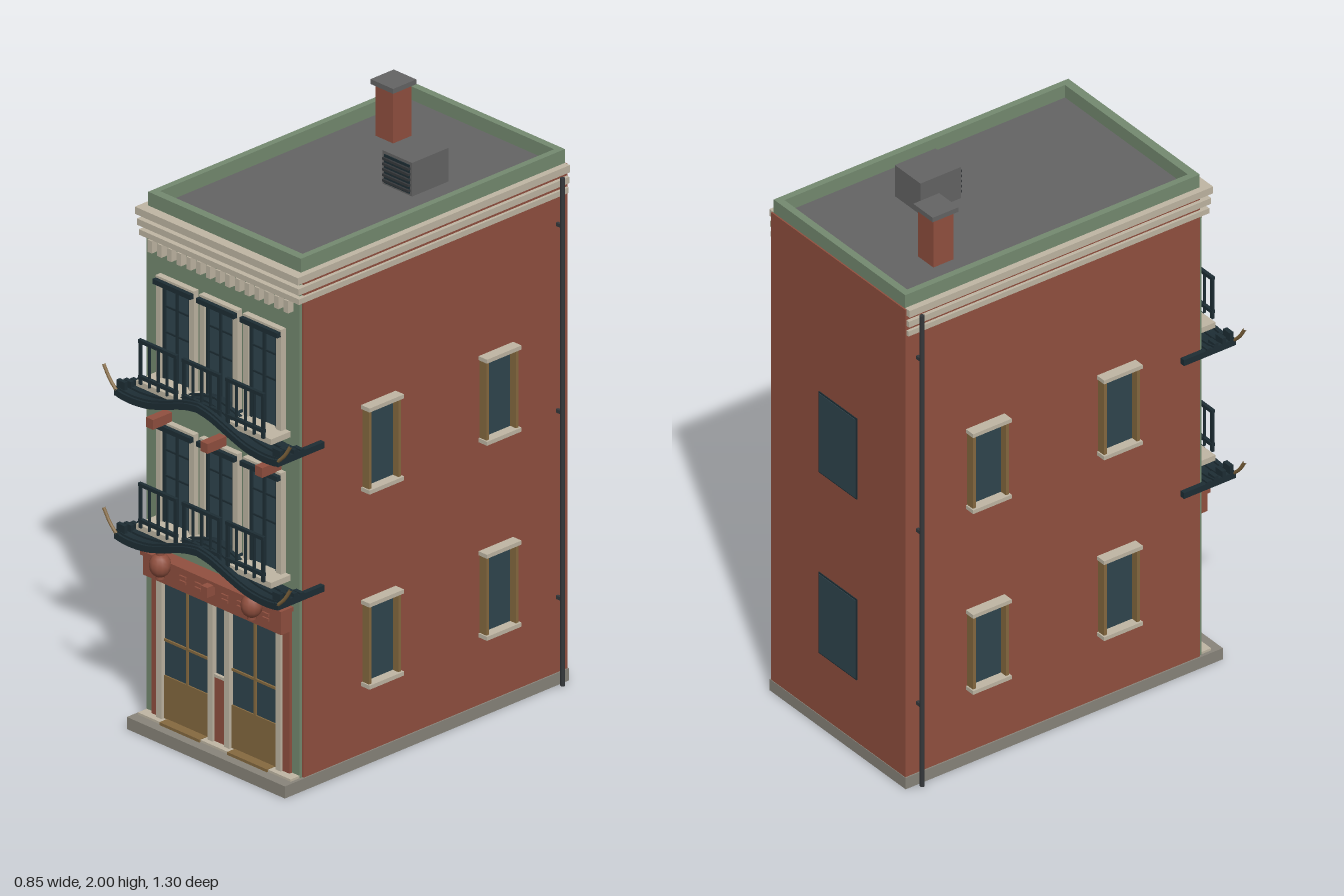
import * as THREE from 'three';

const mat = (name, color, side = THREE.FrontSide) => {
  const m = new THREE.MeshStandardMaterial({ color, side });
  m.name = name;
  return m;
};

export function createModel() {
  const root = new THREE.Group();
  root.name = 'townhouse';
  const brick = mat('brick red', 0x91503f);
  const green = mat('sage green', 0x748a70);
  const cream = mat('cream trim', 0xbfb6a3);
  const stone = mat('base stone', 0x88847a);
  const roofGrey = mat('roof grey', 0x646464);
  const glass = mat('dark glass', 0x2f454e);
  const iron = mat('dark iron', 0x1d2d34);
  const wood = mat('brown wood', 0x85693f);
  const pipe = mat('pipe grey', 0x35383b);

  const add = (name, geo, material, parent = root) => {
    const m = new THREE.Mesh(geo, material);
    m.name = name;
    parent.add(m);
    return m;
  };
  // Box given by its min and max on each axis
  const box = (name, material, x0, x1, y0, y1, z0, z1, parent = root) => {
    const m = add(name, new THREE.BoxGeometry(x1 - x0, y1 - y0, z1 - z0), material, parent);
    m.position.set((x0 + x1) / 2, (y0 + y1) / 2, (z0 + z1) / 2);
    return m;
  };
  const group = (name, x = 0, y = 0, z = 0) => {
    const g = new THREE.Group();
    g.name = name;
    g.position.set(x, y, z);
    root.add(g);
    return g;
  };

  // Main volume
  box('base', stone, -0.357, 0.357, 0, 0.042, -0.647, 0.602);
  box('brickWalls', brick, -0.352, 0.352, 0.042, 1.8, -0.645, 0.515);
  box('facade', green, -0.346, 0.346, 0.042, 1.8, 0.51, 0.526);

  // Roof and parapet
  box('roof', roofGrey, -0.33, 0.33, 1.795, 1.803, -0.625, 0.5);
  box('parapetFront', green, -0.345, 0.345, 1.8, 1.85, 0.49, 0.52);
  box('parapetBack', green, -0.345, 0.345, 1.8, 1.85, -0.64, -0.615);
  for (const s of [-1, 1]) {
    const m = box('parapetSide', green, 0.322, 0.345, 1.8, 1.85, -0.615, 0.49);
    m.position.x *= s;
  }

  // Cornice bands and dentils
  [[1.703, 1.722, 0.362, 0.545], [1.738, 1.76, 0.365, 0.55], [1.777, 1.802, 0.368, 0.556]]
    .forEach(([y0, y1, hx, z1]) => {
      box('corniceFront', cream, -hx, hx, y0, y1, 0.515, z1);
      for (const s of [-1, 1]) {
        const m = box('corniceSide', cream, 0.345, hx, y0, y1, -0.64, 0.515);
        m.position.x *= s;
      }
    });
  for (let i = -7; i <= 7; i++) {
    box('dentil', cream, i * 0.044 - 0.01, i * 0.044 + 0.01, 1.66, 1.703, 0.52, 0.55);
  }

  // Chimney and roof vent
  box('chimney', brick, -0.213, -0.133, 1.8, 1.985, -0.43, -0.35);
  box('chimneyCap', roofGrey, -0.224, -0.122, 1.983, 2, -0.441, -0.339);
  box('roofVent', roofGrey, 0.055, 0.189, 1.8, 1.92, -0.28, -0.12);
  box('ventOpening', iron, 0.065, 0.179, 1.81, 1.91, -0.122, -0.117);
  for (let i = 0; i < 5; i++) {
    box('ventSlat', pipe, 0.063, 0.181, 1.817 + i * 0.019, 1.825 + i * 0.019, -0.12, -0.11);
  }

  // Side windows, downspouts
  for (const s of [-1, 1]) {
    const down = add('downspout', new THREE.CylinderGeometry(0.008, 0.008, 1.77, 8), pipe);
    down.position.set(s * 0.378, 0.89, -0.598);
    for (const y of [0.3, 0.95, 1.6]) {
      const b = box('pipeBracket', pipe, 0.35, 0.378, y, y + 0.012, -0.603, -0.593);
      b.position.x *= s;
    }
    for (const z of [0.186, -0.33]) for (const y of [0.428, 1.108]) {
      const g = group('sideWindow', s * 0.352, y, z);
      g.rotation.y = s * Math.PI / 2;
      box('pane', glass, -0.063, 0.063, -0.14, 0.14, -0.003, 0.004, g);
      for (const e of [-1, 1]) {
        box('jamb', wood, e * 0.065 - 0.006, e * 0.065 + 0.006, -0.14, 0.14, 0, 0.03, g);
      }
      box('lintel', cream, -0.076, 0.076, 0.136, 0.15, 0, 0.038, g);
      box('sill', cream, -0.076, 0.076, -0.15, -0.136, 0, 0.038, g);
    }
  }

  // Back windows
  for (const y of [0.428, 1.108]) {
    box('backWindowFrame', iron, -0.1, 0.1, y - 0.152, y + 0.152, -0.648, -0.644);
    box('backWindowPane', glass, -0.095, 0.095, y - 0.147, y + 0.147, -0.65, -0.646);
  }

  // Upswept eave: a strip whose height follows a wave across the front
  const crest = (x) => {
    const pts = [[0, 1], [0.06, 0.86], [0.15, 0.45], [0.22, 0.17], [0.29, 0.06], [0.34, 0.08], [0.37, 0.15]];
    return new THREE.SplineCurve(pts.map((p) => new THREE.Vector2(p[0], p[1] * 0.075))).getPoint(x);
  };
  const eaveGeo = (depth, thick) => {
    const right = Array.from({ length: 19 }, (_, i) => crest(i / 18));
    const top = [...right.slice(1).reverse().map((p) => new THREE.Vector2(-p.x, p.y)), ...right];
    const low = top.map((p) => new THREE.Vector2(p.x, p.y - thick)).reverse();
    return new THREE.ExtrudeGeometry(new THREE.Shape([...low, ...top]), { depth, bevelEnabled: false });
  };

  // Upper floors: balcony, eave and three tall windows each
  for (const y of [0.685, 1.185]) {
    const g = group('balconyFloor', 0, y, 0);
    const eave = add('eave', eaveGeo(0.12, 0.022), iron, g);
    eave.position.z = 0.525;
    for (const z of [0.555, 0.59, 0.625]) {
      const rib = add('eaveRib', eaveGeo(0.012, 0.012), iron, g);
      rib.position.set(0, 0.007, z);
    }
    box('balconySlab', cream, -0.305, 0.305, 0.032, 0.052, 0.52, 0.612, g);
    for (const s of [-1, 1]) {
      const side = box('sideEave', iron, 0.352, 0.37, -0.012, 0.01, 0.44, 0.645, g);
      side.position.x *= s;
      for (let i = 0; i < 4; i++) {
        const step = box('eaveStep', iron, 0.335, 0.37, 0.008, 0.016 + i * 0.008, 0.53 + i * 0.03, 0.545 + i * 0.03, g);
        step.position.x *= s;
      }
      const horn = add('eaveHorn', new THREE.TubeGeometry(new THREE.CatmullRomCurve3([
        new THREE.Vector3(s * 0.365, 0.005, 0.64), new THREE.Vector3(s * 0.395, 0.035, 0.64),
        new THREE.Vector3(s * 0.423, 0.078, 0.64)]), 6, 0.006, 6), wood, g);
      horn.name = 'eaveHorn';
    }
    for (const x of [-0.197, 0, 0.197]) {
      box('windowPane', glass, x - 0.062, x + 0.062, 0.05, 0.395, 0.525, 0.532, g);
      box('windowMullion', iron, x - 0.004, x + 0.004, 0.05, 0.395, 0.53, 0.54, g);
      for (const dy of [0.21, 0.3]) box('windowBar', iron, x - 0.062, x + 0.062, dy, dy + 0.006, 0.53, 0.536, g);
      box('windowHead', cream, x - 0.086, x + 0.086, 0.385, 0.405, 0.52, 0.548, g);
      box('headRail', iron, x - 0.085, x + 0.085, 0.38, 0.397, 0.545, 0.563, g);
      for (const e of [-1, 1]) {
        box('windowJamb', cream, x + e * 0.075 - 0.011, x + e * 0.075 + 0.011, 0.05, 0.4, 0.52, 0.547, g);
        box('windowStile', iron, x + e * 0.059 - 0.005, x + e * 0.059 + 0.005, 0.05, 0.39, 0.53, 0.54, g);
      }
      // Railing in front of each window
      box('topRail', iron, x - 0.086, x + 0.086, 0.195, 0.207, 0.614, 0.626, g);
      box('bottomRail', iron, x - 0.086, x + 0.086, 0.07, 0.082, 0.614, 0.626, g);
      for (let i = -2; i <= 2; i++) {
        const w = Math.abs(i) === 2 ? 0.006 : 0.003;
        box('baluster', iron, x + i * 0.04 - w, x + i * 0.04 + w, 0.05, 0.2, 0.616, 0.624, g);
      }
    }
  }
  for (const x of [-0.247, 0, 0.247]) box('beamEnd', brick, x - 0.016, x + 0.016, 1.088, 1.122, 0.525, 0.61);

  // Fascia board above the shop, with raised blocks
  box('fascia', brick, -0.312, 0.312, 0.545, 0.63, 0.52, 0.575);
  box('fasciaCap', brick, -0.318, 0.318, 0.615, 0.63, 0.52, 0.582);
  box('fasciaBeamEnd', brick, -0.014, 0.014, 0.585, 0.62, 0.57, 0.61);
  for (const x of [-0.245, -0.13, -0.06, 0.06, 0.13, 0.245]) {
    for (const dy of [0.575, 0.592]) box('fasciaBlock', brick, x - 0.014, x + 0.014, dy, dy + 0.01, 0.574, 0.581);
  }

  // Lanterns
  for (const x of [-0.207, 0.207]) {
    const body = add('lantern', new THREE.SphereGeometry(0.036, 12, 8), brick);
    body.scale.y = 1.15;
    body.position.set(x, 0.623, 0.602);
    for (const y of [0.582, 0.664]) {
      const c = add('lanternCap', new THREE.CylinderGeometry(0.015, 0.015, 0.01, 10), brick);
      c.position.set(x, y, 0.602);
    }
  }

  // Shopfront: two glazed doors, a centre light and pilasters
  box('threshold', cream, -0.345, 0.345, 0.04, 0.05, 0.52, 0.565);
  for (const s of [-1, 1]) {
    const g = group('shopDoor', s * 0.153, 0, 0);
    box('doorGlass', glass, -0.104, 0.104, 0.2, 0.545, 0.524, 0.531, g);
    box('doorPanel', wood, -0.104, 0.104, 0.05, 0.2, 0.524, 0.536, g);
    box('doorMullion', wood, -0.004, 0.004, 0.2, 0.545, 0.528, 0.537, g);
    box('doorBar', wood, -0.104, 0.104, 0.32, 0.328, 0.528, 0.537, g);
    box('doorStep', wood, -0.09, 0.09, 0.042, 0.052, 0.52, 0.57, g);
    const outer = box('outerPilaster', cream, 0.257, 0.281, 0.042, 0.545, 0.52, 0.547);
    const brickP = box('brickPilaster', brick, 0.281, 0.312, 0.042, 0.545, 0.52, 0.538);
    const inner = box('innerPilaster', cream, 0.026, 0.049, 0.042, 0.545, 0.52, 0.547);
    for (const m of [outer, brickP, inner]) m.position.x *= s;
  }
  box('centrePier', brick, -0.026, 0.026, 0.042, 0.28, 0.52, 0.538);
  box('centreSill', cream, -0.026, 0.026, 0.275, 0.285, 0.52, 0.542);
  box('centreGlass', glass, -0.026, 0.026, 0.285, 0.545, 0.524, 0.531);

  return root;
}
